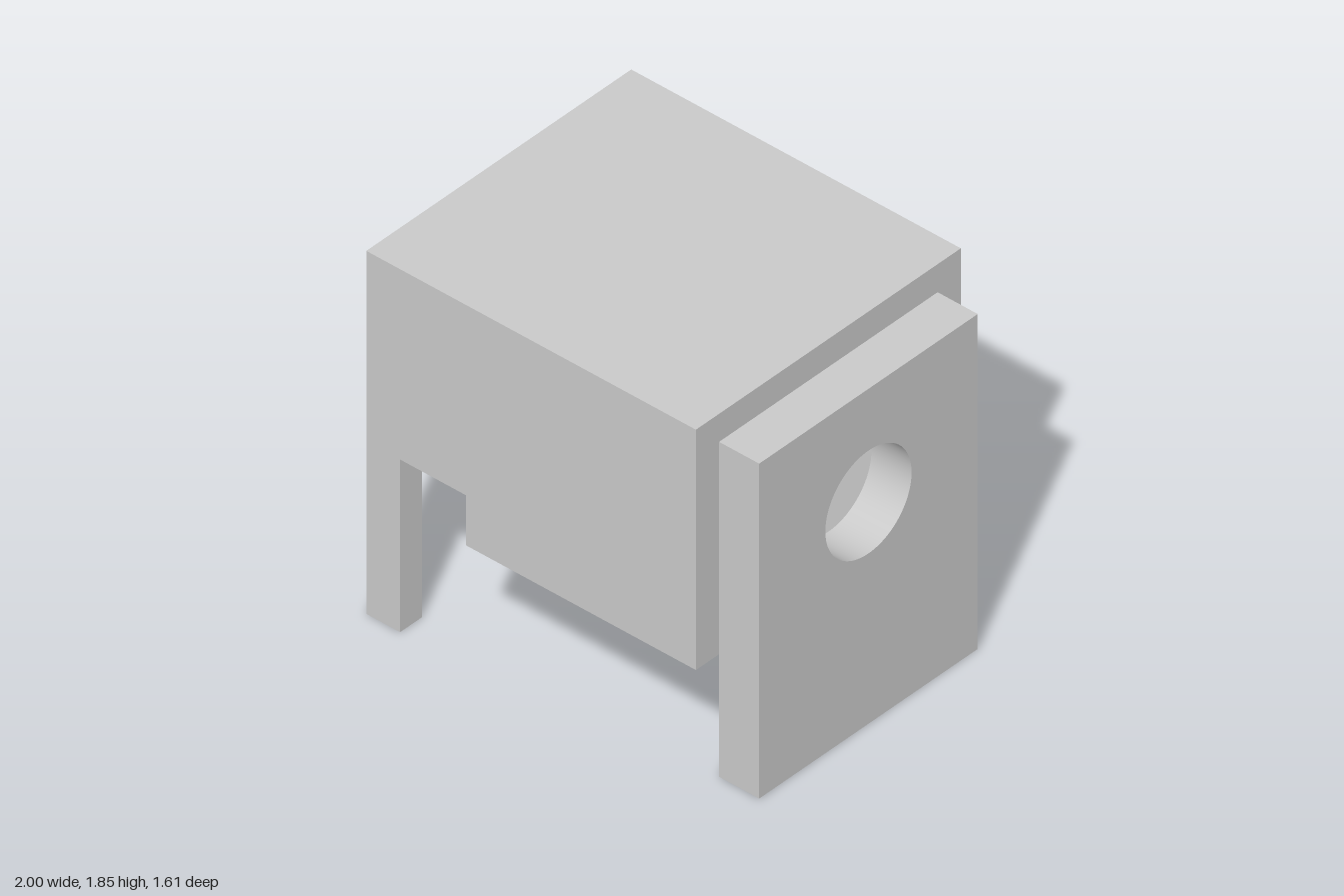
import * as THREE from 'three';
import { toCreasedNormals } from 'three/addons/utils/BufferGeometryUtils.js';

export function createModel() {
  const model = new THREE.Group();
  model.name = 'socketHousing';
  const grey = new THREE.MeshStandardMaterial({ color: 0xcacaca });
  grey.name = 'housing grey';

  const add = (name, geometry) => {
    const mesh = new THREE.Mesh(geometry, grey);
    mesh.name = name;
    model.add(mesh);
  };
  const box = (name, x0, x1, y0, y1, z0, z1) => {
    const g = new THREE.BoxGeometry(x1 - x0, y1 - y0, z1 - z0);
    g.translate((x0 + x1) / 2, (y0 + y1) / 2, (z0 + z1) / 2);
    add(name, g);
  };
  const extrude = (shape, depth) => toCreasedNormals(
    new THREE.ExtrudeGeometry(shape, { depth, bevelEnabled: false, curveSegments: 64 }), 0.5);
  // Side profile given as [z, y] points, swept along x; optional round hole
  const sweep = (name, points, x0, x1, hole) => {
    const shape = new THREE.Shape(points.map(([z, y]) => new THREE.Vector2(-z, y)));
    if (hole) shape.holes.push(hole);
    const g = extrude(shape, x1 - x0);
    g.rotateY(Math.PI / 2);
    g.translate(x0, 0, 0);
    add(name, g);
  };

  // Flange with the round opening
  sweep('flange', [[-0.664, 0], [0.664, 0], [0.664, 1.707], [-0.664, 1.707]], 0.783, 1,
    new THREE.Path().absarc(0, 1.13, 0.262, 0, Math.PI * 2, false));

  // Hollow shell: roof, back wall, front wall and the strip above the notch
  box('roof', -0.8, 0.783, 1.62, 1.85, -0.66, 0.55);
  box('backWall', -0.8, 0.783, 0, 1.85, -0.805, -0.66);
  box('frontWall', -0.46, 0.783, 0.625, 1.85, 0.55, 0.805);
  box('frontWallOverNotch', -0.645, -0.46, 0.88, 1.85, 0.55, 0.805);
  box('frontCorner', -0.8, -0.645, 0.88, 1.85, 0.67, 0.805);

  // End wall with its open slot
  sweep('endWall', [
    [-0.805, 0], [-0.338, 0], [-0.338, 1.06], [0.67, 1.06],
    [0.67, 0.88], [0.805, 0.88], [0.805, 1.85], [-0.805, 1.85],
  ], -1, -0.797);

  // Curved inner stop facing the opening, and its wider foot
  const curve = new THREE.SplineCurve([
    [-0.26, 0], [-0.255, 0.3], [-0.2, 0.6], [-0.03, 0.835], [0.06, 0.882], [0.17, 0.938], [0.35, 0.965], [0.67, 0.98],
  ].map(([z, y]) => new THREE.Vector2(z, y)));
  const arc = curve.getPoints(56).map(p => [p.x, p.y]);
  sweep('curvedStop', [[-0.66, 0], ...arc, [0.67, 1.85], [-0.66, 1.85]], -0.797, -0.645);
  const low = arc.filter(p => p[1] < 0.6);
  sweep('curvedFoot', [[-0.38, 0], ...low, [-0.195, 0.61], [-0.38, 0.61]], -0.645, -0.49);

  // Foot behind it, with an upright round groove on its open side
  const plan = new THREE.Shape();
  plan.moveTo(-0.645, 0.38);
  plan.lineTo(-0.49, 0.38);
  plan.lineTo(-0.49, 0.41);
  plan.absarc(-0.49, 0.5, 0.09, -Math.PI / 2, -Math.PI * 1.5, true);
  plan.lineTo(-0.49, 0.66);
  plan.lineTo(-0.645, 0.66);
  const foot = extrude(plan, 0.61);
  foot.rotateX(-Math.PI / 2);
  add('groovedFoot', foot);

  // Slim corner leg with a thin outer lip
  box('cornerLeg', -0.91, -0.817, 0, 0.88, 0.672, 0.805);
  box('cornerLegLip', -1, -0.91, 0, 0.88, 0.785, 0.805);

  return model;
}
